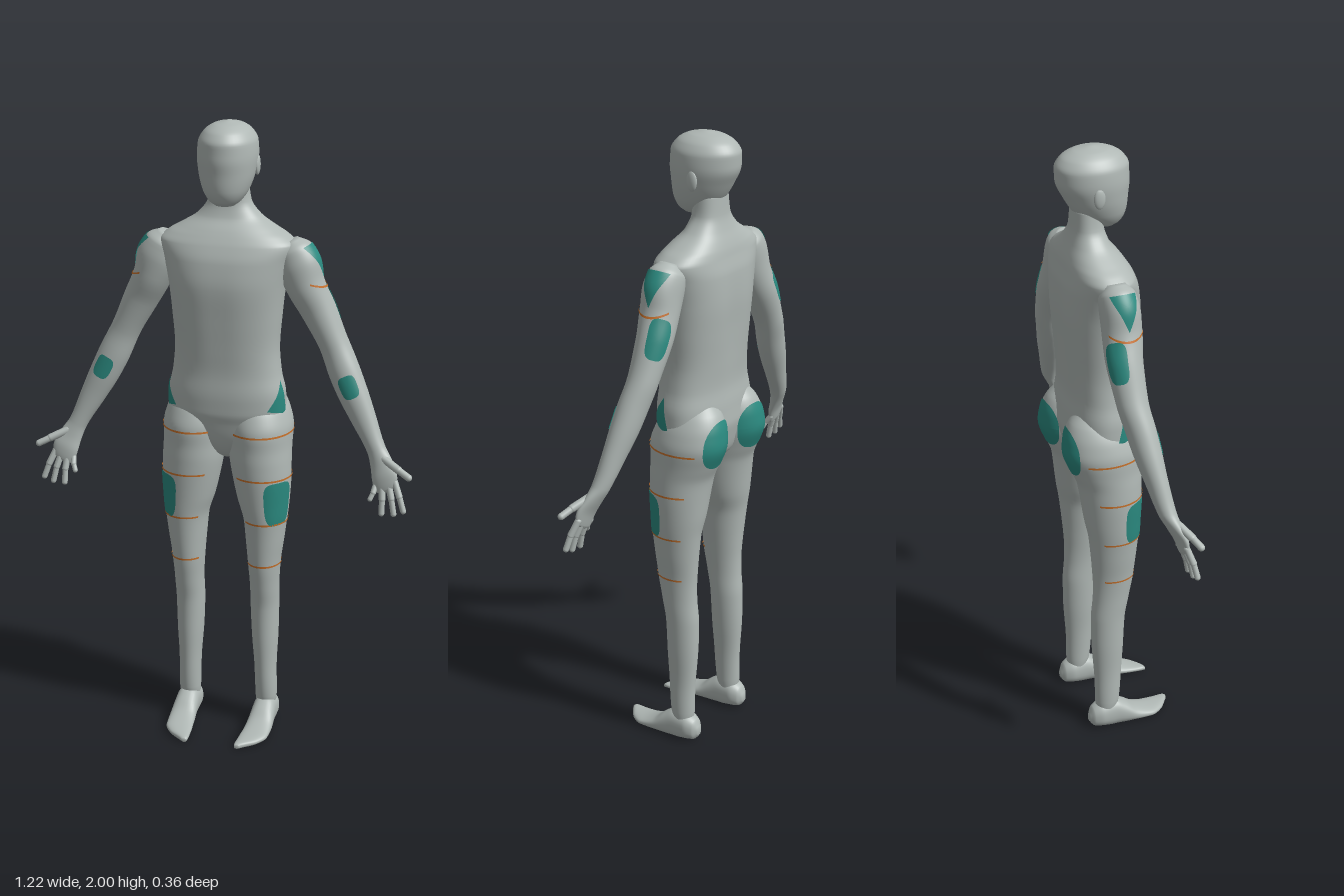
import * as THREE from 'three';

const skin = new THREE.MeshStandardMaterial({ color: 0xb0b8b5 });
skin.name = 'paleGrey';
const teal = new THREE.MeshStandardMaterial({ color: 0x2b8a80, side: THREE.DoubleSide });
teal.name = 'teal';
const orange = new THREE.MeshStandardMaterial({ color: 0xc8722c, side: THREE.DoubleSide });
orange.name = 'orange';

const X = new THREE.Vector3(1, 0, 0), Y = new THREE.Vector3(0, 1, 0), Z = new THREE.Vector3(0, 0, 1);
const rad = THREE.MathUtils.degToRad;
const power = (v, p) => Math.sign(v) * Math.abs(v) ** p;

// Smooth monotone interpolation of section rows by their first number
function sample(rows, k) {
  let i = 0;
  while (i < rows.length - 2 && k > rows[i + 1][0]) i++;
  const slope = (j, c) => (rows[j + 1][c] - rows[j][c]) / (rows[j + 1][0] - rows[j][0]);
  const tangent = (j, c) => {
    if (j === 0) return slope(0, c);
    if (j === rows.length - 1) return slope(j - 1, c);
    const a = slope(j - 1, c), b = slope(j, c);
    return a * b <= 0 ? 0 : (2 * a * b) / (a + b);
  };
  const h = rows[i + 1][0] - rows[i][0], t = (k - rows[i][0]) / h;
  return [1, 2, 3, 4].map((c) =>
    (1 + 2 * t) * (1 - t) ** 2 * rows[i][c] + t * (1 - t) ** 2 * h * tangent(i, c) +
    t * t * (3 - 2 * t) * rows[i + 1][c] + t * t * (t - 1) * h * tangent(i + 1, c));
}

// Surface point from a section position k and an angle (0 = front, 90 = outer side)
function surface(rows, { u = X, w = Z, p = 1, foot = false, shape = () => 1 } = {}) {
  const at = (k, a) => {
    const [c1, c2, r1, r2] = sample(rows, k);
    const point = foot ? new THREE.Vector3(c1, c2, -k) : new THREE.Vector3(c1, k, c2);
    point.addScaledVector(u, r1 * power(Math.sin(a), p));
    point.addScaledVector(w, r2 * power(Math.cos(a), p) * shape(k, a));
    if (foot) point.y = Math.max(0, point.y);
    return point;
  };
  return { rows, at };
}

function makeMesh(name, points, index, material) {
  const g = new THREE.BufferGeometry().setFromPoints(points);
  g.setIndex(index);
  g.computeVertexNormals();
  const mesh = new THREE.Mesh(g, material);
  mesh.name = name;
  return mesh;
}

// Closed body from a surface
function loft(name, { rows, at }, sides = 48, steps = 5) {
  const keys = [];
  for (let i = 0; i < rows.length - 1; i++)
    for (let s = 0; s < steps; s++) keys.push(rows[i][0] + ((rows[i + 1][0] - rows[i][0]) * s) / steps);
  keys.push(rows[rows.length - 1][0]);
  const points = [], index = [];
  for (const k of keys)
    for (let j = 0; j < sides; j++) points.push(at(k, (j / sides) * Math.PI * 2));
  const last = (keys.length - 1) * sides, low = points.length, high = low + 1;
  for (const start of [0, last]) {
    const middle = new THREE.Vector3();
    for (let j = 0; j < sides; j++) middle.add(points[start + j]);
    points.push(middle.divideScalar(sides));
  }
  for (let j = 0; j < sides; j++) {
    const n = (j + 1) % sides;
    for (let i = 0; i < last; i += sides)
      index.push(i + j, i + n, i + sides + j, i + n, i + sides + n, i + sides + j);
    index.push(low, n, j, high, last + j, last + n);
  }
  return makeMesh(name, points, index, skin);
}

// Thin painted sheet lying just above a surface; place(s, t) gives [k, angle]
function sheet(name, { at }, material, ns, nt, place) {
  const points = [], index = [], e = 0.002;
  for (let i = 0; i <= ns; i++)
    for (let j = 0; j <= nt; j++) {
      const [k, a] = place(i / ns, j / nt);
      const da = at(k, a + e).sub(at(k, a - e)), dk = at(k + e, a).sub(at(k - e, a));
      points.push(at(k, a).addScaledVector(da.cross(dk).normalize(), 0.0025));
      if (i < ns && j < nt) {
        const q = i * (nt + 1) + j, r = q + nt + 1;
        index.push(q, r, r + 1, q, r + 1, q + 1);
      }
    }
  return makeMesh(name, points, index, material);
}

const roundedPatch = (name, s, k0, a0, h, w, p = 0.6) => sheet(name, s, teal, 10, 48, (r, t) => [
  k0 + h * r * power(Math.sin(t * Math.PI * 2), p),
  rad(a0 + w * r * power(Math.cos(t * Math.PI * 2), p))]);

// Corners are [k, angle]
const trianglePatch = (name, s, corners) => sheet(name, s, teal, 10, 36, (r, t) => {
  const i = Math.min(2, Math.floor(t * 3)), f = t * 3 - i;
  return [0, 1].map((c) => {
    const mid = (corners[0][c] + corners[1][c] + corners[2][c]) / 3;
    const edge = corners[i][c] * (1 - f) + corners[(i + 1) % 3][c] * f;
    return (mid + (edge - mid) * r) * (c ? Math.PI / 180 : 1);
  });
});

const line = (name, s, k0, from, to, dip = 0) => sheet(name, s, orange, 40, 1, (f, t) => {
  const a = rad(from + (to - from) * f);
  return [k0 + (t - 0.5) * 0.006 + dip * (1 - Math.sin(a)), a];
});

function finger(name, points, r) {
  const group = new THREE.Group();
  group.name = name;
  for (let i = 0; i < points.length - 1; i++) {
    const a = new THREE.Vector3(...points[i]), b = new THREE.Vector3(...points[i + 1]);
    const m = new THREE.Mesh(new THREE.CapsuleGeometry(r * (1 - 0.12 * i), a.distanceTo(b), 6, 14), skin);
    m.name = name + 'Segment';
    m.position.copy(a).lerp(b, 0.5);
    m.quaternion.setFromUnitVectors(Y, b.sub(a).normalize());
    group.add(m);
  }
  return group;
}

// Mirrored copy across x with corner order kept outward
function mirrored(group) {
  const out = new THREE.Group();
  group.updateMatrixWorld(true);
  group.traverse((o) => {
    if (!o.isMesh) return;
    const g = o.geometry.clone().applyMatrix4(o.matrixWorld).scale(-1, 1, 1);
    const ix = g.index.array;
    for (let i = 0; i < ix.length; i += 3) [ix[i], ix[i + 1]] = [ix[i + 1], ix[i]];
    g.computeVertexNormals();
    const m = new THREE.Mesh(g, o.material);
    m.name = o.name;
    out.add(m);
  });
  return out;
}

export function createModel() {
  const model = new THREE.Group();
  model.name = 'mannequin';

  // Torso and neck, with a shallow groove along spine and breastbone
  const torso = surface([
    [0.93, 0, -0.04, 0.015, 0.02], [0.95, 0, -0.04, 0.04, 0.05], [1.0, 0, -0.045, 0.11, 0.085],
    [1.06, 0, -0.045, 0.165, 0.1], [1.1, 0, -0.043, 0.187, 0.107], [1.15, 0, -0.04, 0.186, 0.107],
    [1.22, 0, -0.038, 0.172, 0.103], [1.3, 0, -0.038, 0.165, 0.108], [1.4, 0, -0.038, 0.172, 0.116],
    [1.5, 0, -0.038, 0.183, 0.122], [1.58, 0, -0.042, 0.2, 0.115], [1.63, 0, -0.047, 0.215, 0.1],
    [1.655, 0, -0.052, 0.19, 0.09], [1.675, 0, -0.056, 0.155, 0.08], [1.71, 0, -0.063, 0.1, 0.06],
    [1.755, 0, -0.064, 0.067, 0.048], [1.82, 0, -0.063, 0.058, 0.045],
  ], {
    p: 0.85,
    shape: (k, a) => 1 - (Math.cos(a) < 0 ? 0.06 : 0.02) *
      Math.exp(-((Math.sin(a) / 0.2) ** 2)) * Math.exp(-(((k - 1.42) / 0.17) ** 2)),
  });
  model.add(loft('torso', torso, 64));

  // Head
  model.add(loft('head', surface([
    [1.75, 0, -0.005, 0.03, 0.03], [1.765, 0, -0.01, 0.05, 0.055], [1.8, 0, -0.022, 0.072, 0.082],
    [1.85, 0, -0.035, 0.087, 0.1], [1.9, 0, -0.044, 0.093, 0.113], [1.94, 0, -0.046, 0.09, 0.113],
    [1.97, 0, -0.047, 0.074, 0.095], [1.99, 0, -0.047, 0.046, 0.06], [2.0, 0, -0.047, 0.008, 0.01],
  ])));

  const side = new THREE.Group();
  side.name = 'leftSide';
  const ear = new THREE.Mesh(new THREE.SphereGeometry(1, 20, 14), skin);
  ear.name = 'ear';
  ear.scale.set(0.009, 0.032, 0.018);
  ear.position.set(0.089, 1.868, -0.056);
  side.add(ear, trianglePatch('hipPatch', torso, [[1.11, 48], [1.09, 88], [1.2, 80]]));

  // Leg with buttock
  const leg = surface([
    [0.05, 0.13, -0.055, 0.03, 0.03], [0.1, 0.13, -0.05, 0.035, 0.04], [0.2, 0.128, -0.047, 0.036, 0.045],
    [0.32, 0.126, -0.047, 0.043, 0.053], [0.42, 0.125, -0.045, 0.046, 0.056], [0.5, 0.126, -0.035, 0.047, 0.06],
    [0.58, 0.126, -0.028, 0.052, 0.067], [0.66, 0.128, -0.027, 0.061, 0.074], [0.73, 0.129, -0.027, 0.069, 0.081],
    [0.8, 0.122, -0.03, 0.083, 0.09], [0.88, 0.115, -0.032, 0.094, 0.098], [0.93, 0.11, -0.035, 0.098, 0.103],
    [0.98, 0.107, -0.045, 0.1, 0.113], [1.04, 0.105, -0.055, 0.103, 0.125], [1.09, 0.1, -0.062, 0.096, 0.115],
    [1.14, 0.095, -0.07, 0.075, 0.09], [1.18, 0.09, -0.075, 0.04, 0.05],
  ]);
  side.add(loft('leg', leg));
  side.add(roundedPatch('buttockPatch', leg, 1.055, 183, 0.075, 42, 0.85));
  side.add(roundedPatch('thighPatch', leg, 0.805, 48, 0.073, 33, 0.5));
  for (const [y, from] of [[1.03, -38], [0.885, -40], [0.735, -45], [0.585, -55]])
    side.add(line('legLine', leg, y, from, 130));

  // Foot, from toe to heel
  side.add(loft('foot', surface([
    [-0.18, 0.088, 0.008, 0.008, 0.006], [-0.17, 0.094, 0.01, 0.016, 0.009], [-0.14, 0.113, 0.011, 0.034, 0.011],
    [-0.1, 0.126, 0.014, 0.044, 0.014], [-0.05, 0.13, 0.022, 0.043, 0.023], [-0.01, 0.131, 0.035, 0.04, 0.04],
    [0.03, 0.131, 0.045, 0.038, 0.05], [0.07, 0.131, 0.045, 0.038, 0.045], [0.1, 0.131, 0.04, 0.028, 0.035],
    [0.115, 0.131, 0.035, 0.01, 0.012],
  ], { w: Y, p: 0.85, foot: true }), 32));

  // Arm and palm, from knuckles to shoulder
  const arm = surface([
    [0.885, 0.53, 0.035, 0.01, 0.006], [0.895, 0.528, 0.034, 0.036, 0.011], [0.93, 0.52, 0.028, 0.042, 0.016],
    [0.97, 0.505, 0.012, 0.036, 0.021], [1.01, 0.485, -0.003, 0.03, 0.027], [1.1, 0.44, -0.02, 0.04, 0.034],
    [1.18, 0.4, -0.033, 0.048, 0.042], [1.24, 0.372, -0.042, 0.05, 0.045], [1.32, 0.336, -0.055, 0.047, 0.048],
    [1.42, 0.287, -0.058, 0.055, 0.055], [1.5, 0.246, -0.05, 0.061, 0.06], [1.56, 0.225, -0.048, 0.07, 0.06],
    [1.61, 0.205, -0.05, 0.06, 0.055], [1.64, 0.19, -0.05, 0.03, 0.03],
  ], { u: new THREE.Vector3(0.9, 0.43, 0).normalize() });
  side.add(loft('arm', arm));
  side.add(trianglePatch('shoulderPatch', arm, [[1.505, 90], [1.61, 135], [1.61, 45]]));
  side.add(roundedPatch('upperArmPatch', arm, 1.43, 135, 0.055, 35));
  side.add(roundedPatch('forearmPatch', arm, 1.2, 8, 0.033, 33));
  side.add(line('armLine', arm, 1.48, 28, 150, 0.05));

  // Fingers and thumb
  side.add(finger('thumb', [[0.515, 0.985, 0.018], [0.565, 0.962, 0.042], [0.6, 0.945, 0.056]], 0.0125));
  const tips = [[0.586, 0.832], [0.556, 0.82], [0.518, 0.818], [0.481, 0.862]];
  tips.forEach(([x, y], i) => {
    const bx = 0.553 - i * 0.02, by = 0.918 - i * 0.006;
    side.add(finger('finger', [[bx, by, 0.031], [(bx + x) / 2 + 0.002, (by + y) / 2, 0.045], [x, y, 0.053]], i === 3 ? 0.009 : 0.0105));
  });

  const other = mirrored(side);
  other.name = 'rightSide';
  model.add(side, other);
  return model;
}
